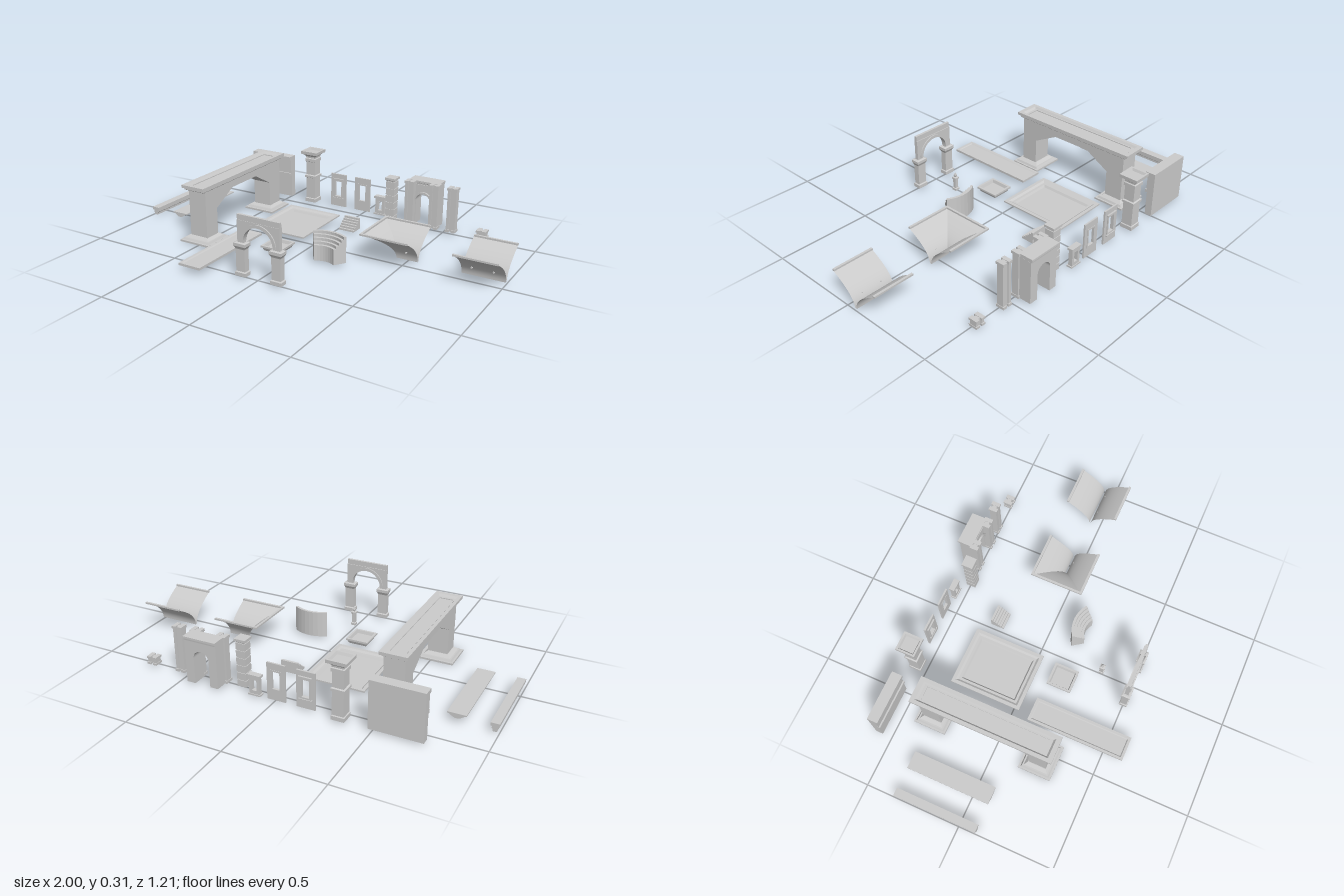
import * as THREE from 'three';

const mat = new THREE.MeshStandardMaterial({ color: 0xcccccc, side: THREE.DoubleSide, flatShading: true });
const smoothMat = new THREE.MeshStandardMaterial({ color: 0xcccccc, side: THREE.DoubleSide });

function add(parent, name, geo, material = mat) {
  const m = new THREE.Mesh(geo, material);
  m.name = name;
  parent.add(m);
  return m;
}

// Box given by its limits
function box(parent, name, x0, x1, y0, y1, z0, z1) {
  const m = add(parent, name, new THREE.BoxGeometry(x1 - x0, y1 - y0, z1 - z0));
  m.position.set((x0 + x1) / 2, (y0 + y1) / 2, (z0 + z1) / 2);
}

// Stack of rectangular sections [y, width, depth] around (x, z), closed at both ends
function loft(parent, name, x, z, sections) {
  const pos = [];
  const rings = sections.map(([y, w, d]) =>
    [[-1, 1], [1, 1], [1, -1], [-1, -1]].map(([sx, sz]) => [x + sx * w / 2, y, z + sz * d / 2]));
  const quad = (a, b, c, d) => pos.push(...a, ...b, ...c, ...a, ...c, ...d);
  for (let k = 0; k + 1 < rings.length; k++)
    for (let i = 0; i < 4; i++) {
      const j = (i + 1) % 4;
      quad(rings[k][i], rings[k][j], rings[k + 1][j], rings[k + 1][i]);
    }
  const lo = rings[0], hi = rings[rings.length - 1];
  quad(hi[0], hi[1], hi[2], hi[3]);
  quad(lo[3], lo[2], lo[1], lo[0]);
  const g = new THREE.BufferGeometry();
  g.setAttribute('position', new THREE.Float32BufferAttribute(pos, 3));
  g.computeVertexNormals();
  add(parent, name, g);
}

// Smooth sheet through rows of points
function sheet(parent, name, rows) {
  const n = rows[0].length, idx = [];
  for (let r = 0; r + 1 < rows.length; r++)
    for (let i = 0; i + 1 < n; i++) {
      const a = r * n + i;
      idx.push(a, a + 1, a + n + 1, a, a + n + 1, a + n);
    }
  const g = new THREE.BufferGeometry();
  g.setAttribute('position', new THREE.Float32BufferAttribute(rows.flat(2), 3));
  g.setIndex(idx);
  g.computeVertexNormals();
  add(parent, name, g, smoothMat);
}

const polygon = pts => new THREE.Shape(pts.map(p => new THREE.Vector2(...p)));
const rect = (x0, x1, y0, y1) => polygon([[x0, y0], [x1, y0], [x1, y1], [x0, y1]]);
const extrude = (shape, depth, curveSegments = 12) =>
  new THREE.ExtrudeGeometry(shape, { depth, bevelEnabled: false, curveSegments });

function group(parent, name) {
  const g = new THREE.Group();
  g.name = name;
  parent.add(g);
  return g;
}

// Pair of slim pilasters on a common core
function doublePillar(parent, name, x, z, top, cap) {
  const g = group(parent, name);
  for (const s of [-1, 1])
    loft(g, 'pilaster', x + s * 0.0165, z, [[0.01, 0.021, 0.046], [0.01 + cap, 0.021, 0.046],
      [0.01 + cap, 0.016, 0.036], [top - cap, 0.016, 0.036], [top - cap, 0.021, 0.046], [top, 0.021, 0.046]]);
  box(g, 'pillarCore', x - 0.015, x + 0.015, 0.012, top - 0.002, z - 0.012, z + 0.012);
}

// Half vault trough; an optional hipped end closes the -x side
function vault(parent, name, x0, x1, hip) {
  const g = group(parent, name), zc = -0.057, N = 16;
  const levels = Array.from({ length: N + 1 }, (_, k) => {
    const u = k / N;
    return { y: 0.01 + 0.138 * u, w: 0.004 + 0.136 * u * u };
  });
  const left = w => hip ? x0 + 0.14 - w : x0;
  for (const s of [-1, 1]) {
    sheet(g, 'vaultSide', levels.map(({ y, w }) => [[left(w), y, zc + s * w], [x1, y, zc + s * w]]));
    box(g, 'vaultRim', x0, x1, 0.146, 0.155, zc + s * 0.137 - 0.006, zc + s * 0.137 + 0.006);
  }
  if (hip) {
    sheet(g, 'vaultHip', levels.map(({ y, w }) => [[left(w), y, zc - w], [left(w), y, zc + w]]));
    box(g, 'vaultRim', x0, x0 + 0.012, 0.146, 0.155, zc - 0.14, zc + 0.14);
  }
  for (const x of hip ? [x1 - 0.055] : [x0 + 0.055, x1 - 0.055]) {
    const stud = add(g, 'stud', new THREE.CylinderGeometry(0.005, 0.005, 0.006, 8));
    stud.rotation.x = Math.PI / 2;
    stud.position.set(x, 0.055, zc + 0.022);
  }
}

export function createModel() {
  const root = new THREE.Group();
  root.name = 'architectureKit';

  // Loose cornice beams
  loft(root, 'corniceBeam', -0.978, -0.13, [[0.005, 0.02, 0.44], [0.016, 0.02, 0.44], [0.02, 0.028, 0.44],
    [0.03, 0.028, 0.44], [0.033, 0.042, 0.44], [0.047, 0.042, 0.44]]);
  loft(root, 'wideCornice', -0.805, -0.13, [[0.024, 0.02, 0.44], [0.032, 0.05, 0.44], [0.04, 0.07, 0.44],
    [0.042, 0.09, 0.44], [0.048, 0.09, 0.44]]);

  // Great gateway with two piers
  const gate = group(root, 'greatGateway');
  const span = polygon([[-0.275, 0.03], [-0.184, 0.03], [-0.184, 0.17], [-0.047, 0.243], [0.167, 0.243],
    [0.3, 0.168], [0.3, 0.03], [0.4, 0.03], [0.4, 0.28], [-0.275, 0.28]]);
  const arch = add(gate, 'gatewaySpan', extrude(span, 0.104));
  arch.rotation.y = Math.PI / 2;
  arch.position.x = -0.575;
  for (const z of [0.228, -0.35])
    loft(gate, 'pierBase', -0.526, z, [[0.012, 0.1, 0.09], [0, 0.15, 0.14], [0, 0.184, 0.172], [0.01, 0.184, 0.172],
      [0.01, 0.165, 0.152], [0.02, 0.155, 0.14], [0.02, 0.14, 0.125], [0.034, 0.104, 0.096]]);
  loft(gate, 'gatewayCornice', -0.526, -0.06, [[0.278, 0.106, 0.69], [0.284, 0.12, 0.71], [0.295, 0.12, 0.71], [0.295, 0.137, 0.738],
    [0.31, 0.137, 0.738], [0.31, 0.1, 0.69], [0.3, 0.085, 0.67], [0.3, 0.07, 0.64], [0.296, 0.07, 0.64]]);

  // Wall panel with bands on its front
  const wall = group(root, 'wallPanel');
  for (const [n, y0, y1, d] of [['lowerWall', 0.012, 0.14, 0.037], ['wallBand', 0.14, 0.155, 0.05],
    ['upperWall', 0.155, 0.235, 0.042], ['wallCap', 0.235, 0.255, 0.055]])
    box(wall, n, -0.742, -0.482, y0, y1, -0.585, -0.585 + d);

  // Tall square column with a hollow capital
  loft(root, 'tallColumn', -0.338, -0.555, [[0.01, 0.066, 0.066], [0.03, 0.066, 0.066], [0.034, 0.058, 0.058], [0.155, 0.058, 0.058],
    [0.158, 0.07, 0.07], [0.17, 0.07, 0.07], [0.174, 0.056, 0.056], [0.25, 0.056, 0.056], [0.253, 0.066, 0.066],
    [0.27, 0.066, 0.066], [0.274, 0.058, 0.058], [0.283, 0.06, 0.06], [0.294, 0.08, 0.08], [0.298, 0.1, 0.1],
    [0.315, 0.102, 0.102], [0.315, 0.082, 0.082], [0.303, 0.07, 0.07]]);

  // Window panels and a small free window frame
  for (const [x, framed] of [[-0.165, true], [-0.012, false]]) {
    const g = group(root, 'windowPanel');
    const hole = rect(x - 0.02, x + 0.02, 0.068, 0.158);
    const face = rect(x - 0.048, x + 0.048, 0.01, 0.2);
    face.holes.push(hole);
    add(g, 'panel', extrude(face, 0.009)).position.z = -0.557;
    const trim = rect(x - 0.028, x + 0.028, 0.06, 0.166);
    trim.holes.push(hole);
    const t = framed ? 0.018 : 0.013;
    add(g, 'windowTrim', extrude(trim, t)).position.z = -0.5525 - t / 2;
    if (framed) {
      box(g, 'windowHood', x - 0.034, x + 0.034, 0.166, 0.174, -0.566, -0.54);
      box(g, 'windowSill', x - 0.034, x + 0.034, 0.052, 0.06, -0.566, -0.54);
    }
  }
  const frame = group(root, 'smallWindow');
  const frameShape = rect(0.076, 0.13, 0.018, 0.105);
  frameShape.holes.push(rect(0.09, 0.116, 0.035, 0.09));
  add(frame, 'windowFrame', extrude(frameShape, 0.022)).position.z = -0.562;
  box(frame, 'frameHead', 0.07, 0.136, 0.105, 0.117, -0.566, -0.535);
  box(frame, 'frameSill', 0.07, 0.136, 0.01, 0.018, -0.566, -0.535);

  // Column of banded blocks
  const blocks = [];
  for (let k = 0; k < 6; k++) {
    const y = 0.01 + k * 0.039;
    blocks.push([y, 0.05, 0.05], [y + 0.033, 0.05, 0.05], [y + 0.033, 0.043, 0.043], [y + 0.039, 0.043, 0.043]);
  }
  loft(root, 'blockColumn', 0.197, -0.495, [...blocks, [0.244, 0.05, 0.05], [0.248, 0.06, 0.06], [0.26, 0.06, 0.06]]);

  // Portal with flanking pilasters
  const portal = group(root, 'portal');
  const door = polygon([[0.285, 0.01], [0.328, 0.01], [0.328, 0.145]]);
  door.absarc(0.37, 0.145, 0.042, Math.PI, 0, true);
  for (const p of [[0.412, 0.01], [0.458, 0.01], [0.458, 0.235], [0.285, 0.235]]) door.lineTo(...p);
  add(portal, 'portalWall', extrude(door, 0.07)).position.z = -0.592;
  loft(portal, 'portalCornice', 0.371, -0.562, [[0.235, 0.173, 0.07], [0.243, 0.173, 0.072], [0.245, 0.178, 0.08], [0.255, 0.178, 0.08]]);
  const doorTrim = new THREE.Shape();
  doorTrim.absarc(0.37, 0.145, 0.052, 0, Math.PI, false);
  doorTrim.absarc(0.37, 0.145, 0.042, Math.PI, 0, true);
  add(portal, 'doorArch', extrude(doorTrim, 0.01)).position.z = -0.522;
  for (const x of [0.3, 0.441]) doublePillar(portal, 'portalPillar', x, -0.509, 0.255, 0.014);

  // Free double pillars, tall and short
  doublePillar(root, 'doublePillar', 0.542, -0.513, 0.255, 0.014);
  doublePillar(root, 'shortPillar', 0.712, -0.515, 0.052, 0.011);

  // Ceiling tray, small tray and long floor slab
  loft(root, 'ceilingTray', -0.202, -0.16, [[0.018, 0.235, 0.3], [0.024, 0.27, 0.335], [0.032, 0.285, 0.35], [0.034, 0.315, 0.38],
    [0.042, 0.315, 0.38], [0.042, 0.28, 0.345], [0.034, 0.26, 0.325], [0.034, 0.235, 0.3], [0.023, 0.22, 0.285]]);
  loft(root, 'smallTray', -0.11, 0.165, [[0.014, 0.095, 0.105], [0.03, 0.11, 0.118], [0.032, 0.122, 0.13], [0.042, 0.122, 0.13],
    [0.042, 0.1, 0.108], [0.026, 0.09, 0.098]]);
  loft(root, 'floorSlab', -0.323, 0.347, [[0.03, 0.125, 0.515], [0.042, 0.125, 0.515], [0.042, 0.1, 0.49], [0.037, 0.09, 0.48]]);

  // Straight stair
  const stair = group(root, 'stair');
  for (let k = 0; k < 6; k++)
    box(stair, 'step', 0.018, 0.108, 0.01, 0.02 + k * 0.01, -0.23 - (k + 1) * 0.0118, -0.23 - k * 0.0118);

  // Curved tiers rising outward
  const tiers = group(root, 'curvedTiers');
  for (let k = 0; k < 5; k++) {
    const r0 = 0.096 + k * 0.0134, r1 = r0 + 0.0134, a0 = Math.PI * 0.306, a1 = Math.PI * 0.694;
    const s = new THREE.Shape();
    s.absarc(0, 0, r1, a0, a1, false);
    s.absarc(0, 0, r0, a1, a0, true);
    const tier = add(tiers, 'tier', extrude(s, 0.081 + k * 0.014, 4));
    tier.rotation.x = -Math.PI / 2;
    tier.position.set(0.17, 0.01, 0.267);
  }

  // Free-standing arch on two posts
  const archway = group(root, 'archway'), cx = 0.013, cy = 0.185;
  const panel = polygon([[cx - 0.117, 0.175], [cx - 0.082, 0.175], [cx - 0.082, cy]]);
  panel.absarc(cx, cy, 0.082, Math.PI, 0, true);
  for (const p of [[cx + 0.082, 0.175], [cx + 0.117, 0.175], [cx + 0.117, 0.288], [cx - 0.117, 0.288]]) panel.lineTo(...p);
  add(archway, 'archPanel', extrude(panel, 0.02, 16)).position.z = 0.49;
  box(archway, 'archCrown', cx - 0.117, cx + 0.117, 0.288, 0.315, 0.494, 0.508);
  const ring = new THREE.Shape();
  ring.absarc(cx, cy, 0.098, 0, Math.PI, false);
  ring.absarc(cx, cy, 0.082, Math.PI, 0, true);
  add(archway, 'archTrim', extrude(ring, 0.03, 16)).position.z = 0.485;
  for (const s of [-1, 1])
    loft(archway, 'archPost', cx + s * 0.099, 0.5, [[0.01, 0.06, 0.042], [0.028, 0.06, 0.042], [0.033, 0.05, 0.032], [0.145, 0.05, 0.032],
      [0.152, 0.056, 0.038], [0.16, 0.066, 0.046], [0.175, 0.066, 0.046], [0.178, 0.05, 0.032]]);

  // Small finial post
  loft(root, 'finialPost', 0.012, 0.332, [[0.01, 0.026, 0.026], [0.022, 0.026, 0.026], [0.025, 0.018, 0.018], [0.075, 0.018, 0.018],
    [0.078, 0.026, 0.026], [0.087, 0.026, 0.026], [0.09, 0.01, 0.01], [0.1, 0.014, 0.014], [0.114, 0.002, 0.002]]);

  // Vault pieces
  vault(root, 'hippedVault', 0.307, 0.557, true);
  vault(root, 'straightVault', 0.782, 0.999, false);

  return root;
}
